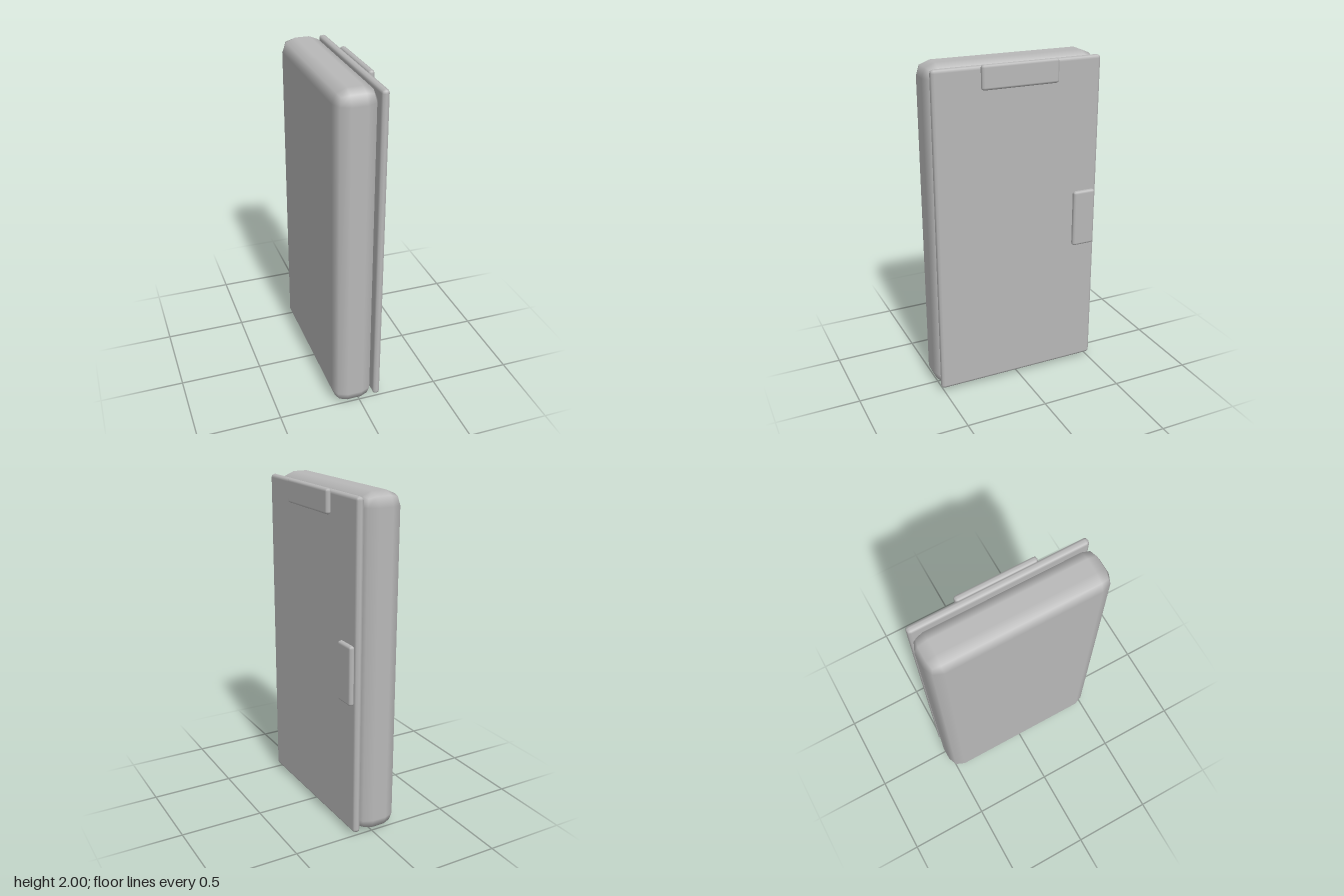
import * as THREE from 'three';
import { RoundedBoxGeometry } from 'three/addons/geometries/RoundedBoxGeometry.js';

export function createModel() {
  const group = new THREE.Group();
  const grey = new THREE.MeshStandardMaterial({ color: 0xb8b8b8 });
  grey.name = 'plain grey';

  // Bevelled slab given by its lower and upper limits on each axis
  function slab(name, [x0, x1], [y0, y1], [z0, z1], radius) {
    const geometry = new RoundedBoxGeometry(x1 - x0, y1 - y0, z1 - z0, 1, radius);
    const mesh = new THREE.Mesh(geometry, grey);
    mesh.name = name;
    mesh.position.set((x0 + x1) / 2, (y0 + y1) / 2, (z0 + z1) / 2);
    group.add(mesh);
  }

  // Thick rounded cabinet body
  slab('cabinetBody', [-0.16, 0.086], [0, 2], [-0.527, 0.527], 0.08);

  // Thin door panel on the left side
  slab('doorPanel', [0.086, 0.131], [0.022, 1.985], [-0.516, 0.516], 0.02);

  // Plate along the top of the door, and the handle near its back edge
  slab('topPlate', [0.121, 0.158], [1.852, 1.992], [-0.236, 0.236], 0.016);
  slab('doorHandle', [0.121, 0.158], [0.828, 1.18], [-0.497, -0.353], 0.016);

  return group;
}
